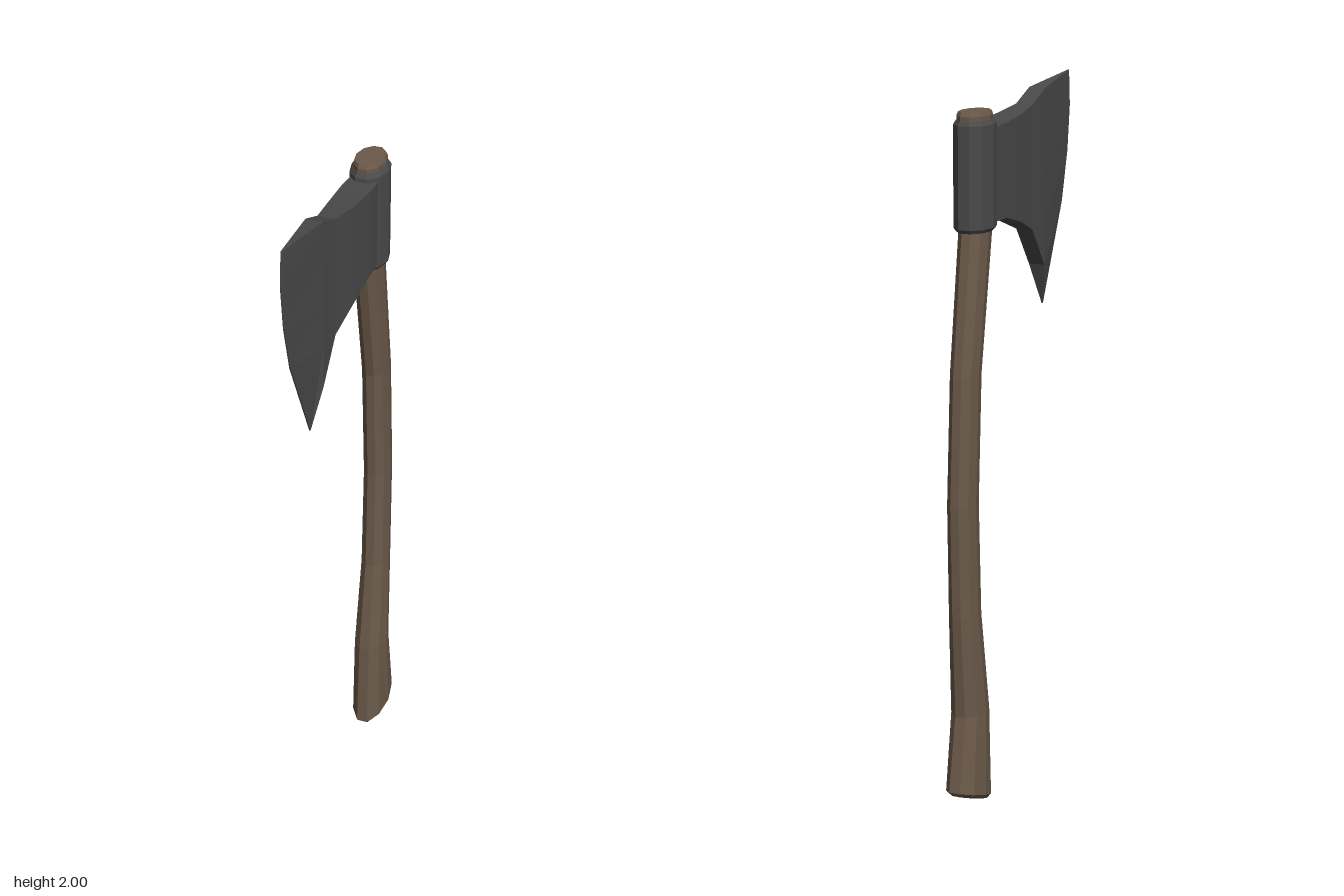
import * as THREE from 'three';

const SIDES = 10;
const wood = new THREE.MeshStandardMaterial({ color: 0x6b5a4a, flatShading: true });
const steel = new THREE.MeshStandardMaterial({ color: 0x4a4a4a, flatShading: true });

// Skin a list of equal-length rings of [x, y, z] points and close both ends.
function loft(name, rings, material, caps) {
  const n = rings[0].length;
  const index = [];
  for (let i = 0; i < rings.length - 1; i++) {
    for (let j = 0; j < n; j++) {
      const k = (j + 1) % n;
      const a = i * n + j, b = i * n + k;
      index.push(a, a + n, b + n, a, b + n, b);
    }
  }
  const last = (rings.length - 1) * n;
  for (const [p, q, r] of caps) {
    index.push(p, q, r, last + p, last + r, last + q);
  }
  const geometry = new THREE.BufferGeometry();
  geometry.setAttribute('position', new THREE.Float32BufferAttribute(rings.flat(2), 3));
  geometry.setIndex(index);
  const flat = geometry.toNonIndexed();
  flat.computeVertexNormals();
  const mesh = new THREE.Mesh(flat, material);
  mesh.name = name;
  return mesh;
}

// Ten-sided oval ring, flat at front and back; tilt lowers the front and lifts the back.
function oval(y, halfWidth, zBack, zFront, tilt = 0) {
  const mid = (zBack + zFront) / 2;
  const s = (zFront - zBack) / 2 / Math.sin(Math.PI * 0.4);
  return Array.from({ length: SIDES }, (_, j) => {
    const a = (j / SIDES) * Math.PI * 2;
    return [halfWidth * Math.cos(a), y - tilt * Math.sin(a), mid + s * Math.sin(a)];
  });
}

const fan = Array.from({ length: SIDES - 2 }, (_, j) => [0, j + 1, j + 2]);

function createHandle() {
  // y, half width, back z, front z, tilt
  const rings = [
    [0.033, 0.042, -0.375, -0.218, 0.03],
    [0.047, 0.053, -0.39, -0.206, 0.032],
    [0.29, 0.049, -0.35, -0.22],
    [0.58, 0.041, -0.37, -0.26],
    [0.9, 0.039, -0.38, -0.27],
    [1.26, 0.039, -0.357, -0.25],
    [1.65, 0.041, -0.297, -0.18],
    [1.952, 0.044, -0.303, -0.178],
    [1.962, 0.04, -0.298, -0.183],
  ].map((r) => oval(...r));
  return loft('handle', rings, wood, fan);
}

function createCollar() {
  const rings = [
    [1.642, 0.047, -0.303, -0.177],
    [1.652, 0.054, -0.31, -0.17],
    [1.928, 0.054, -0.31, -0.17],
    [1.94, 0.047, -0.303, -0.177],
  ].map((r) => oval(...r));
  return loft('collar', rings, steel, fan);
}

function createBlade() {
  const rows = 5;
  // Each column is a top-to-bottom line of [y, z] points with a half thickness.
  const ring = (points, half) => [
    ...points.map(([y, z]) => [half, y, z]),
    ...points.slice().reverse().map(([y, z]) => [-half, y, z]),
  ];
  // z, top y, bottom y, half thickness
  const body = [
    [-0.21, 1.915, 1.66, 0.04],
    [-0.13, 1.918, 1.66, 0.042],
    [-0.02, 1.926, 1.63, 0.036],
    [0.08, 1.94, 1.59, 0.025],
    [0.165, 1.975, 1.475, 0.024],
  ].map(([z, top, bottom, half]) => ring(
    Array.from({ length: rows }, (_, i) => [top + (bottom - top) * i / (rows - 1), z]), half));
  // Curved cutting edge with a long lower beard
  const edge = ring([[2, 0.385], [1.9, 0.392], [1.77, 0.376], [1.63, 0.338], [1.355, 0.205]], 0.002);
  const strip = [];
  for (let i = 0; i < rows - 1; i++) {
    const o = 2 * rows - 1 - i;
    strip.push([i, i + 1, o - 1], [i, o - 1, o]);
  }
  return loft('blade', [...body, edge], steel, strip);
}

export function createModel() {
  const group = new THREE.Group();
  group.name = 'axe';
  group.add(createHandle(), createCollar(), createBlade());
  return group;
}
